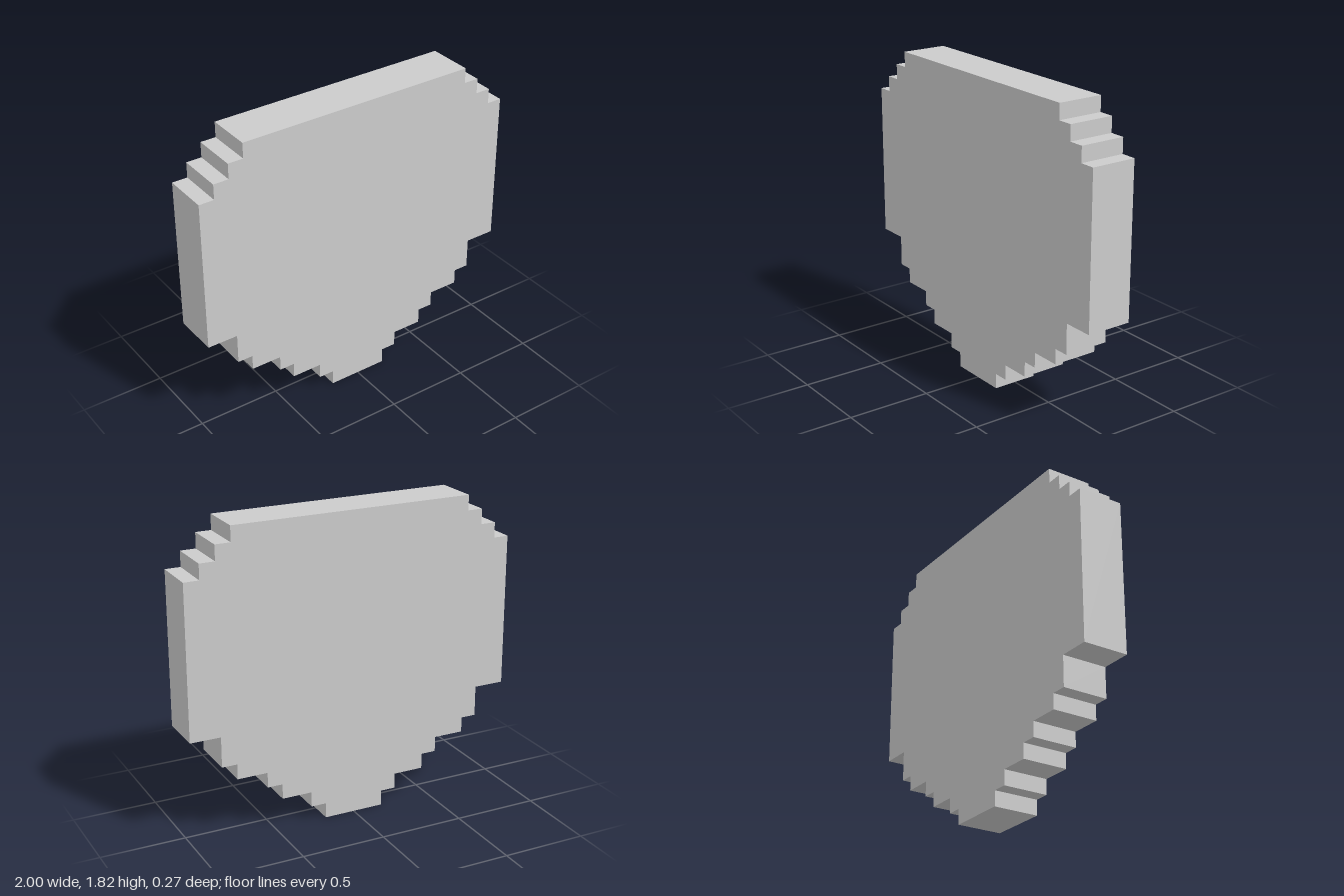
import * as THREE from 'three';

const CELL = 1 / 11; // one step of the stepped outline

// [half width, top of the row], in cells, from the bottom up
const ROWS = [
  [2, 1], [3, 2], [5, 3], [6, 4], [8, 5], [9, 7],
  [11, 17], [10, 18], [9, 19], [8, 20],
];

// Stepped outline: up the +x side, then mirrored down the -x side
function steppedShape() {
  const side = [];
  let bottom = 0;
  for (const [half, top] of ROWS) {
    side.push([half, bottom], [half, top]);
    bottom = top;
  }
  const mirrored = side.map(([x, y]) => [-x, y]).reverse();
  return new THREE.Shape(
    [...side, ...mirrored].map(([x, y]) => new THREE.Vector2(x * CELL, y * CELL))
  );
}

export function createModel() {
  const group = new THREE.Group();
  group.name = 'steppedShield';

  // Flat slab, three cells thick, centred on z
  const depth = 3 * CELL;
  const geometry = new THREE.ExtrudeGeometry(steppedShape(), { depth, bevelEnabled: false });
  geometry.translate(0, 0, -depth / 2);

  const slab = new THREE.Mesh(
    geometry,
    new THREE.MeshStandardMaterial({ color: 0xcccccc, flatShading: true })
  );
  slab.name = 'shieldSlab';
  group.add(slab);
  return group;
}
